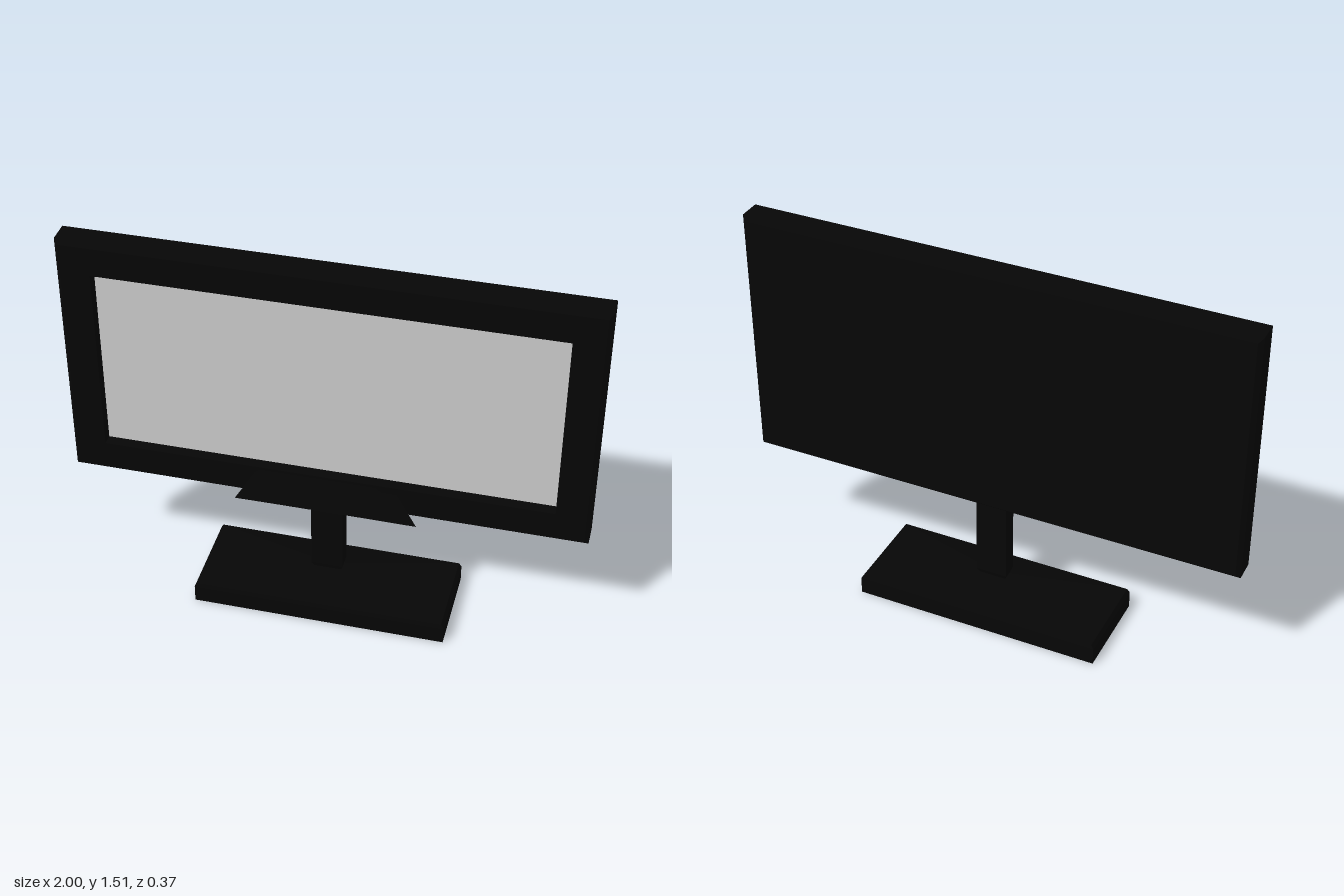
import * as THREE from 'three';

const black = new THREE.MeshStandardMaterial({ color: 0x060606, flatShading: true });
const grey = new THREE.MeshStandardMaterial({ color: 0xcccccc });

// Skins a stack of equal-length point loops, closing both ends.
// Loops run counter-clockwise when seen from the far end of the stack.
function loft(loops) {
  const n = loops[0].length;
  const pos = [];
  const tri = (a, b, c) => pos.push(...a, ...b, ...c);
  for (let i = 0; i < loops.length - 1; i++) {
    const lo = loops[i], hi = loops[i + 1];
    for (let j = 0; j < n; j++) {
      const k = (j + 1) % n;
      tri(lo[j], lo[k], hi[k]);
      tri(lo[j], hi[k], hi[j]);
    }
  }
  const first = loops[0], last = loops[loops.length - 1];
  for (let j = 1; j < n - 1; j++) {
    tri(first[0], first[j + 1], first[j]);
    tri(last[0], last[j], last[j + 1]);
  }
  const geo = new THREE.BufferGeometry();
  geo.setAttribute('position', new THREE.Float32BufferAttribute(pos, 3));
  geo.computeVertexNormals();
  return geo;
}

// Stacked rectangles, each given as [height, halfX, halfZ]
const stack = (rings) => loft(rings.map(([y, x, z]) =>
  [[-x, y, z], [x, y, z], [x, y, -z], [-x, y, -z]]));

export function createModel() {
  const group = new THREE.Group();
  const add = (name, geo, mat = black) => {
    const mesh = new THREE.Mesh(geo, mat);
    mesh.name = name;
    group.add(mesh);
    return mesh;
  };

  // Foot: low slab with a bevelled rim and a gently sloping top
  add('base', stack([
    [0, 0.498, 0.186], [0.07, 0.498, 0.186], [0.087, 0.488, 0.181], [0.137, 0.06, 0.02],
  ]));

  // Neck, tapered where it meets the foot
  add('neck', stack([
    [0.135, 0.053, 0.02], [0.16, 0.0625, 0.033], [0.52, 0.0625, 0.033],
  ]));

  // Display housing: bevelled edges, then a rim stepping into the screen recess, stacked along z
  const housing = stack([
    [-0.06, 0.984, 0.494], [-0.043, 1, 0.51], [0.043, 1, 0.51], [0.06, 0.984, 0.494],
    [0.06, 0.87, 0.38], [0.014, 0.87, 0.38],
  ]);
  housing.rotateX(Math.PI / 2);
  housing.translate(0, 1, 0);
  add('housing', housing);

  // Screen, sunk behind the rim
  const screen = add('screen', new THREE.PlaneGeometry(1.74, 0.76), grey);
  screen.position.set(0, 1, 0.016);

  // Flared lip under the screen; sections are [top x, bottom x, back x, bottom y, bottom z]
  const sections = [
    [-0.26, -0.355, -0.31, 0.459, 0.07], [-0.19, -0.19, -0.19, 0.48, 0.093],
    [0.19, 0.19, 0.19, 0.48, 0.093], [0.26, 0.355, 0.31, 0.459, 0.07],
  ];
  add('lowerLip', loft(sections.map(([tx, bx, kx, y, z]) => [
    [tx, 0.615, 0.058], [bx, y, z], [kx, 0.475, 0.03], [tx, 0.6, 0.03],
  ])));

  return group;
}
